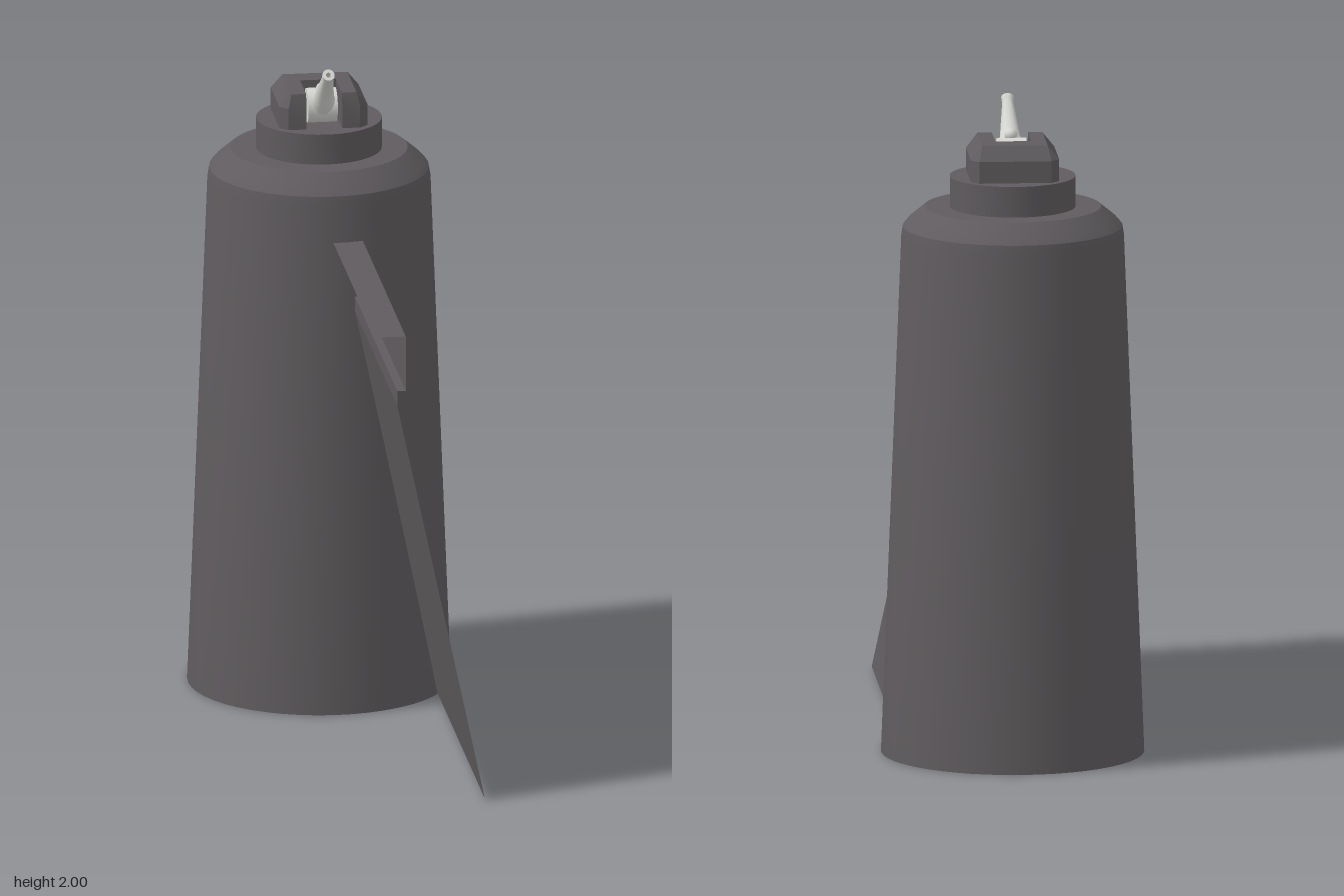
import * as THREE from 'three';
import { toCreasedNormals } from 'three/addons/utils/BufferGeometryUtils.js';

const CZ = -0.475; // bottle axis

export function createModel() {
  const model = new THREE.Group();
  const plastic = new THREE.MeshStandardMaterial({ name: 'dark grey plastic', color: 0x5f5b5e, side: THREE.DoubleSide });
  const pale = new THREE.MeshStandardMaterial({ name: 'pale spout', color: 0xd4d4d0, side: THREE.DoubleSide });

  const add = (name, geometry, material, parent = model) => {
    const mesh = new THREE.Mesh(geometry, material);
    mesh.name = name;
    parent.add(mesh);
    return mesh;
  };
  const lathe = (points, segments) => toCreasedNormals(
    new THREE.LatheGeometry(points.map(([r, y]) => new THREE.Vector2(r, y)), segments), 0.5);

  // Tapered body, open underneath
  add('bottleBody', lathe([[0.402, 0], [0.34, 1.6], [0.335, 1.63], [0.318, 1.65], [0.27, 1.69], [0, 1.69]], 48), plastic)
    .position.z = CZ;

  // Round collar
  add('collar', lathe([[0.192, 1.68], [0.192, 1.785], [0, 1.785]], 48), plastic).position.z = CZ;

  // U-shaped cap with sloping upper edges and a slot at the front
  const u = new THREE.Shape([
    [-0.11, 0.345], [-0.055, 0.345], [-0.055, 0.5], [0.055, 0.5], [0.055, 0.345], [0.11, 0.345],
    [0.135, 0.37], [0.135, 0.58], [0.11, 0.607], [-0.11, 0.607], [-0.135, 0.58], [-0.135, 0.37],
  ].map(([x, y]) => new THREE.Vector2(x, y)));
  const cap = new THREE.ExtrudeGeometry(u, { depth: 0.11, steps: 2, bevelEnabled: false }).rotateX(-Math.PI / 2);
  const p = cap.attributes.position;
  for (let i = 0; i < p.count; i++) {
    const y = p.getY(i);
    if (y > 0.1) {
      p.setX(i, THREE.MathUtils.clamp(p.getX(i), -0.1, 0.1));
      p.setZ(i, THREE.MathUtils.clamp(p.getZ(i), -0.572, -0.355));
    } else if (y > 0.03) p.setY(i, 0.067);
  }
  add('cap', toCreasedNormals(cap, 0.5), plastic).position.y = 1.785;

  // Tilting spout on its pivot
  const spout = new THREE.Group();
  spout.name = 'spoutAssembly';
  model.add(spout);
  const nozzle = add('nozzle', lathe([[0, 0], [0.036, 0], [0.036, 0.085], [0.031, 0.1], [0.017, 0.232], [0.019, 0.24], [0.019, 0.252], [0.008, 0.252], [0.008, 0.2]], 16), pale, spout);
  nozzle.position.set(0, 1.815, -0.434);
  nozzle.rotation.x = 0.83;
  add('pivot', new THREE.CylinderGeometry(0.053, 0.053, 0.09, 20).rotateZ(Math.PI / 2), pale, spout)
    .position.set(0, 1.838, -0.425);
  add('pivotKnob', new THREE.SphereGeometry(0.02, 12, 8), pale, spout).position.set(0, 1.896, -0.4);

  // Folded side panel: top ledge, upright band, small step, sloping sheet
  const fold = [[0, 1.485], [0.092, 1.485], [0.092, 1.312], [0.066, 1.312], [0.066, 1.265], [0.335, 0.005]];
  const names = ['panelLedge', 'panelBand', 'panelLip', 'panelStep', 'panelSheet'];
  const z0 = -0.47, z1 = 0.878;
  names.forEach((name, i) => {
    const [xa, ya] = fold[i], [xb, yb] = fold[i + 1];
    const g = new THREE.BufferGeometry();
    g.setAttribute('position', new THREE.Float32BufferAttribute([
      xa, ya, z0, xa, ya, z1, xb, yb, z1, xb, yb, z0], 3));
    g.setIndex([0, 1, 2, 0, 2, 3]);
    g.computeVertexNormals();
    add(name, g, plastic);
  });

  return model;
}
